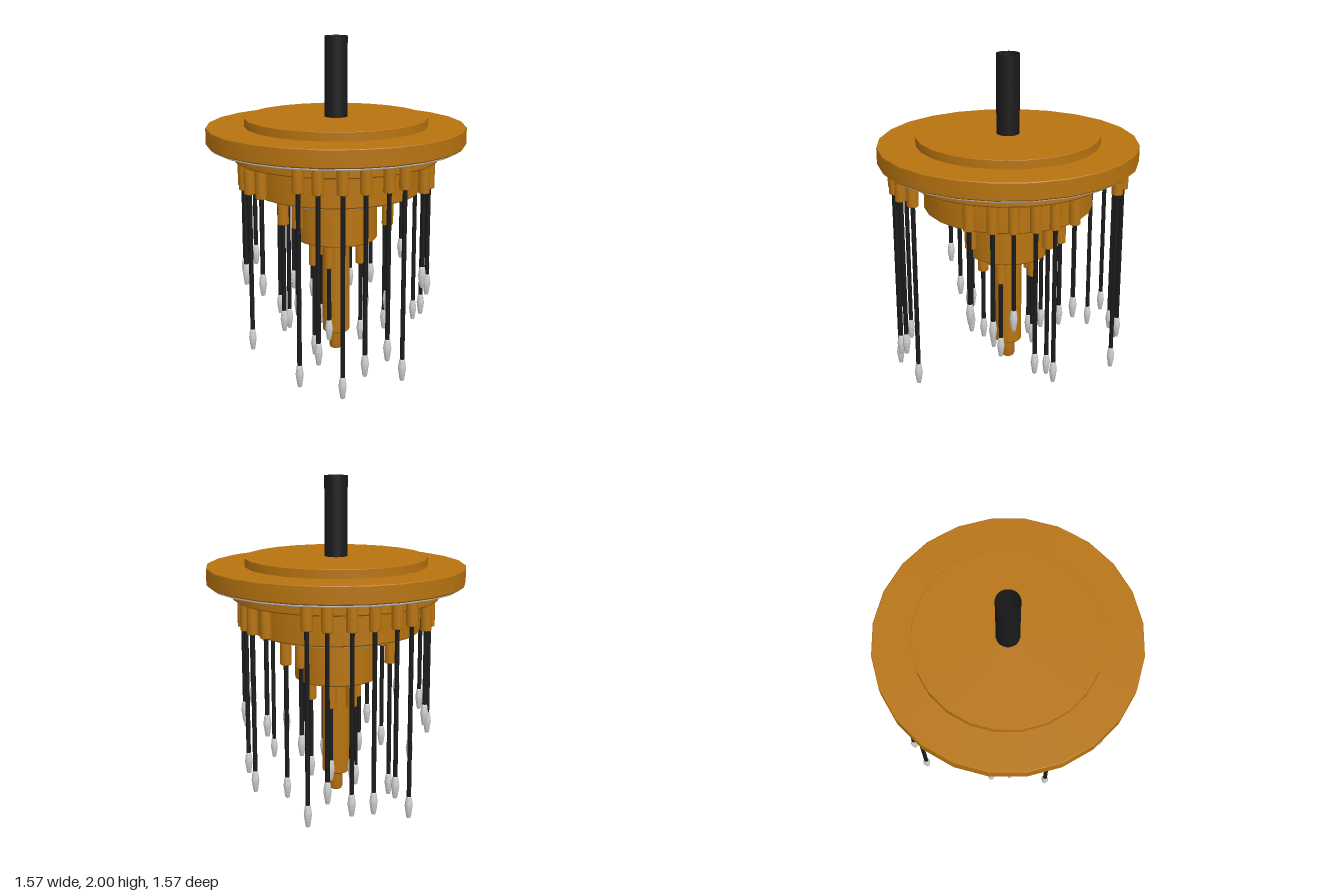
import * as THREE from 'three';
import { toCreasedNormals } from 'three/addons/utils/BufferGeometryUtils.js';

const brass = new THREE.MeshStandardMaterial({ color: 0xb87410 });
const black = new THREE.MeshStandardMaterial({ color: 0x1a1a1a });
const blackTube = new THREE.MeshStandardMaterial({ color: 0x1a1a1a, side: THREE.DoubleSide });
const silver = new THREE.MeshStandardMaterial({ color: 0xcccccc });

// Profile runs from bottom to top as [radius, y]
function lathe(profile, segments) {
  const pts = profile.map(([r, y]) => new THREE.Vector2(r, y));
  return toCreasedNormals(new THREE.LatheGeometry(pts, segments), 0.6);
}

function add(parent, name, geometry, material, x = 0, y = 0, z = 0) {
  const mesh = new THREE.Mesh(geometry, material);
  mesh.name = name;
  mesh.position.set(x, y, z);
  parent.add(mesh);
  return mesh;
}

// Closed disc with softened rims
function disc(radius, bottom, top, bevel = 0.008) {
  return lathe([
    [0, bottom], [radius - bevel, bottom], [radius, bottom + bevel],
    [radius, top - bevel / 2], [radius - bevel / 2, top], [0, top],
  ], 24);
}

function trimRing(parent, name, radius, tube, y) {
  const g = new THREE.TorusGeometry(radius, tube, 8, 24);
  g.rotateX(Math.PI / 2);
  add(parent, name, g, silver, 0, y, 0);
}

// Socket, cord and tapered tip hanging from a tier
const tipGeometry = lathe([
  [0, 0], [0.011, 0], [0.014, 0.008], [0.024, 0.075], [0.023, 0.083],
  [0.017, 0.125], [0.014, 0.132], [0, 0.132],
], 10);
function pendant(parent, x, z, ceiling, socketBottom, tipBottom) {
  const g = new THREE.Group();
  g.name = 'pendant';
  g.position.set(x, 0, z);
  const r = 0.034;
  add(g, 'socket', lathe([
    [0, socketBottom], [r - 0.004, socketBottom], [r, socketBottom + 0.004],
    [r, ceiling], [0, ceiling],
  ], 14), brass);
  const length = socketBottom - tipBottom - 0.12;
  add(g, 'cord', new THREE.CylinderGeometry(0.0135, 0.0135, length, 8), black,
    0, socketBottom - length / 2, 0);
  add(g, 'tip', tipGeometry, silver, 0, tipBottom, 0);
  parent.add(g);
}

export function createModel() {
  const model = new THREE.Group();
  model.name = 'pendantChandelier';

  // Hanging tube
  add(model, 'hangingTube', new THREE.CylinderGeometry(0.07, 0.07, 0.5, 24, 1, true), blackTube, 0, 1.75, 0);
  trimRing(model, 'tubeCollar', 0.058, 0.007, 1.522);

  // Stacked tiers
  add(model, 'topCap', disc(0.555, 1.46, 1.52, 0.004), brass);
  add(model, 'canopyDisc', disc(0.785, 1.36, 1.468), brass);
  add(model, 'upperTier', disc(0.63, 1.27, 1.365), brass);
  add(model, 'middleTier', disc(0.515, 1.07, 1.275), brass);
  add(model, 'lowerTier', disc(0.255, 0.765, 1.075), brass);
  add(model, 'centreColumn', disc(0.085, 0.15, 0.77), brass);
  add(model, 'columnFinial', lathe([
    [0, 0.03], [0.029, 0.03], [0.037, 0.035], [0.041, 0.046], [0.041, 0.155], [0, 0.155],
  ], 24), brass);

  // Silver trim below the tiers
  trimRing(model, 'canopyTrim', 0.755, 0.01, 1.355);
  trimRing(model, 'middleTrim', 0.468, 0.01, 1.066);
  trimRing(model, 'finialTrim', 0.041, 0.005, 0.15);

  // Front and back rows under the canopy: x, z, tip height
  for (const s of [-1, 1]) {
    for (const [x, z, tip] of [[0.3, 0.603, 0.05], [0.198, 0.664, 0.205], [0.064, 0.69, 0.13]]) {
      for (const m of [-1, 1]) {
        const low = s === 1 && m === -1 && x < 0.1;
        pendant(model, m * x, s * z, 1.36, 1.198, low ? 0.0 : tip);
      }
    }
  }

  // Side rows under the upper tier
  const sideRow = [
    [0.48, 0.305, 0.51], [0.48, -0.305, 0.51], [-0.48, 0.305, 0.51], [-0.48, -0.305, 0.51],
    [0.54, 0.18, 0.42], [0.54, -0.18, 0.12], [-0.54, 0.18, 0.12], [-0.54, -0.18, 0.42],
    [0.563, 0.063, 0.49], [0.563, -0.063, 0.2], [-0.563, 0.063, 0.5], [-0.563, -0.063, 0.5],
  ];
  for (const [x, z, tip] of sideRow) pendant(model, x, z, 1.27, 1.098, tip);

  // Ring under the middle tier
  const middleRing = [
    [0.27, 0.27, 0.36], [-0.27, 0.27, 0.36], [0.27, -0.27, 0.36], [-0.27, -0.27, 0.07],
    [-0.345, 0.18, 0.23], [0.345, -0.18, 0.065],
  ];
  for (const [x, z, tip] of middleRing) pendant(model, x, z, 1.07, 0.905, tip);

  // Ring under the lower tier
  const innerRing = [
    [-0.145, 0.07, 0.015], [0.145, 0.07, 0.1], [0.065, -0.145, 0.14],
    [-0.065, -0.145, 0.14], [-0.065, 0.148, 0.14],
  ];
  for (const [x, z, tip] of innerRing) pendant(model, x, z, 0.768, 0.61, tip);

  return model;
}
